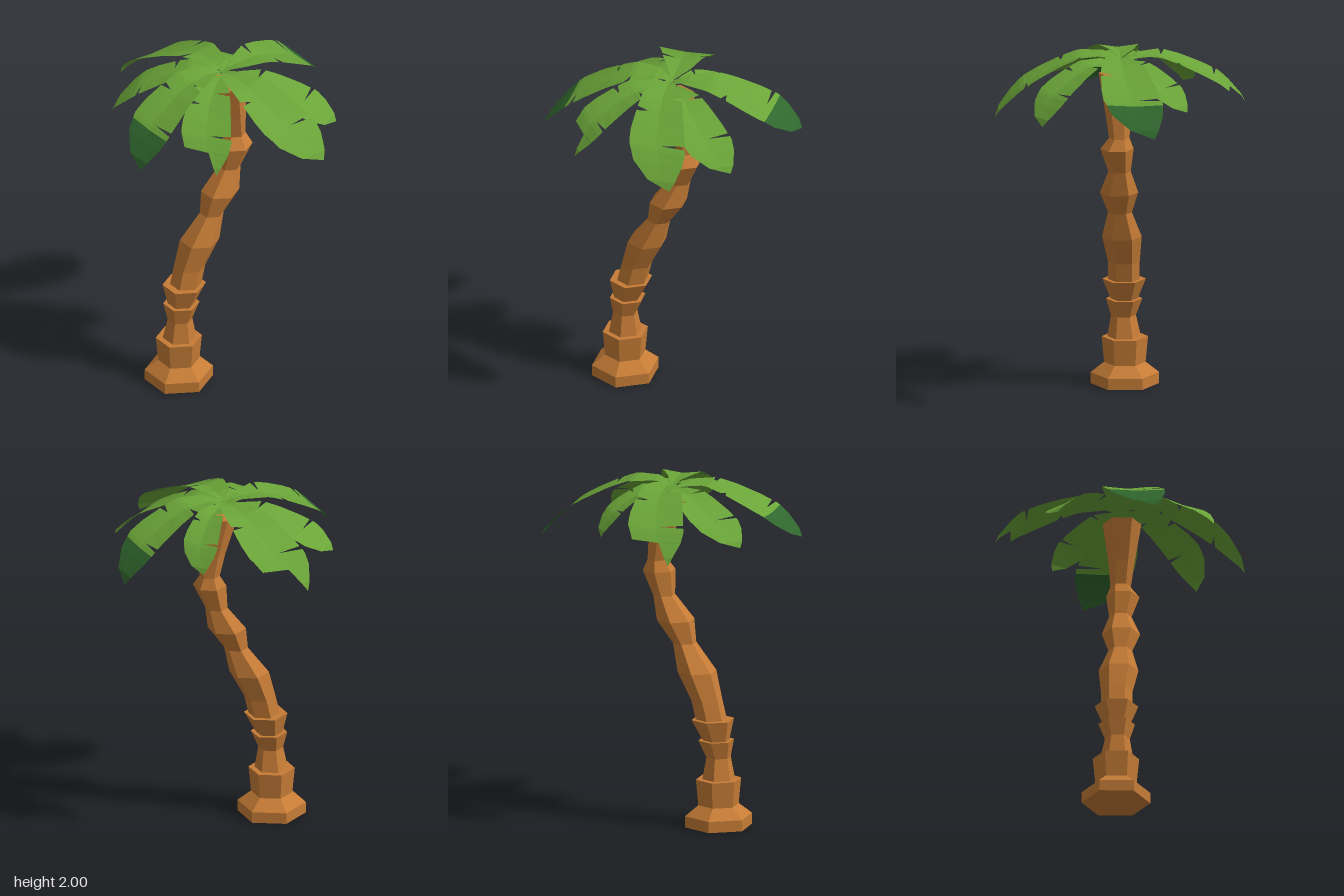
import * as THREE from 'three';

const mat = (name, color, side = THREE.FrontSide) => {
  const m = new THREE.MeshStandardMaterial({ color, side });
  m.name = name;
  return m;
};

// Faceted geometry: unshared corners give every face its own normal
function faceted(points, index) {
  const g = new THREE.BufferGeometry();
  g.setAttribute('position', new THREE.Float32BufferAttribute(points, 3));
  g.setIndex(index);
  const flat = g.toNonIndexed();
  flat.computeVertexNormals();
  return flat;
}

// Trunk rings: [y, centre x, centre z, radius]
const RINGS = [
  [0, -0.285, -0.03, 0.195], [0.065, -0.285, -0.03, 0.195], [0.125, -0.285, -0.03, 0.118],
  [0.275, -0.285, -0.03, 0.132], [0.275, -0.284, -0.026, 0.095], [0.4, -0.283, -0.022, 0.071],
  [0.5, -0.27, -0.026, 0.104], [0.5, -0.27, -0.026, 0.078], [0.62, -0.25, -0.026, 0.124],
  [0.62, -0.24, -0.024, 0.09], [0.73, -0.214, -0.024, 0.09], [0.89, -0.152, -0.012, 0.113],
  [1.05, -0.075, 0, 0.068], [1.18, -0.02, 0.005, 0.109], [1.32, 0.047, 0.003, 0.064],
  [1.46, 0.082, 0.018, 0.095], [1.525, 0.088, 0.005, 0.058], [1.66, 0.067, 0.01, 0.073],
  [1.89, 0.025, 0.012, 0.11],
];

function trunkGeometry() {
  const sides = 6, pts = [], idx = [];
  for (const [y, cx, cz, r] of RINGS) {
    for (let j = 0; j < sides; j++) {
      const a = (j / sides) * Math.PI * 2;
      pts.push(cx + r * Math.sin(a), y, cz + r * Math.cos(a));
    }
  }
  for (let i = 0; i < RINGS.length - 1; i++) {
    for (let j = 0; j < sides; j++) {
      const a = i * sides + j, b = i * sides + ((j + 1) % sides);
      idx.push(a, b, b + sides, a, b + sides, a + sides);
    }
  }
  // end caps
  const top = (RINGS.length - 1) * sides;
  for (let j = 1; j < sides - 1; j++) {
    idx.push(0, j + 1, j, top, top + j, top + j + 1);
  }
  return faceted(pts, idx);
}

// Frond rows: [distance out, left edge, midrib, right edge, midrib height]; inward edges are slits
const FROND = [
  [0, 0, 0, 0, 1.965], [0.05, -0.045, 0, 0.03, 1.98], [0.1, -0.08, 0, 0.055, 1.986],
  [0.22, -0.105, 0.01, 0.12, 1.981], [0.232, -0.106, 0.012, 0.035, 1.979],
  [0.25, -0.108, 0.014, 0.13, 1.975], [0.32, -0.11, 0.02, 0.155, 1.95],
  [0.335, -0.04, 0.022, 0.16, 1.944], [0.35, -0.11, 0.025, 0.165, 1.938],
  [0.46, -0.11, 0.045, 0.205, 1.887], [0.525, -0.1, 0.06, 0.225, 1.853],
  [0.535, -0.098, 0.065, 0.09, 1.847], [0.545, -0.095, 0.07, 0.235, 1.842],
  [0.57, -0.08, 0.08, 0.24, 1.825], [0.62, -0.05, 0.1, 0.24, 1.782],
  [0.69, 0.055, 0.13, 0.215, 1.712], [0.715, 0.19, 0.19, 0.19, 1.667],
];
const TIP_ROW = 13;
// The torn frond has a bite out of its end
const TORN = [
  ...FROND.slice(0, 15), [0.625, 0.11, 0.14, 0.238, 1.777],
  [0.69, 0.16, 0.18, 0.21, 1.71], FROND[16],
];

// Shallow V section that flattens toward the tip: the edges stand above the midrib
function frondGeometry(rows, scale, droop, lower) {
  const pts = [], idx = [];
  for (const [u, left, mid, right, y] of rows) {
    const fold = 0.2 * (1 - u / 0.75);
    for (const v of [left, mid, right]) {
      const h = 2 - lower - (2 - y) * droop + fold * Math.abs(v - mid);
      pts.push(v * scale, h, u * scale);
    }
  }
  for (let i = 0; i < rows.length - 1; i++) {
    for (const k of [0, 1]) {
      const a = i * 3 + k, b = a + 3;
      idx.push(a, b, b + 1, a, b + 1, a + 1);
    }
  }
  return faceted(pts, idx);
}

export function createModel() {
  const model = new THREE.Group();
  model.name = 'palmTree';
  const bark = mat('bark brown', 0xc67c36);
  const green = mat('leaf green', 0x6aa438, THREE.DoubleSide);
  const dark = mat('dark tip green', 0x30672e, THREE.DoubleSide);

  const add = (parent, name, geometry, material) => {
    const m = new THREE.Mesh(geometry, material);
    m.name = name;
    parent.add(m);
  };

  add(model, 'trunk', trunkGeometry(), bark);

  // Fronds: yaw in degrees, scale, droop, distance below the crown, torn end, dark tip
  const fronds = [
    { yaw: 0 }, { yaw: 90, tip: true }, { yaw: 180, torn: true }, { yaw: 270, tip: true },
    { yaw: 32, scale: 0.88, droop: 0.85, lower: 0.035 },
    { yaw: 126, scale: 0.66, droop: 0.72, lower: 0.035 },
    { yaw: 220, scale: 0.85, droop: 0.75, lower: 0.035 },
    { yaw: 306, scale: 0.91, droop: 0.82, lower: 0.035, torn: true },
  ];
  for (const { yaw, scale = 1, droop = 1, lower = 0, torn = false, tip = false } of fronds) {
    const frond = new THREE.Group();
    frond.name = lower ? 'lowerFrond' : 'upperFrond';
    frond.rotation.y = THREE.MathUtils.degToRad(yaw);
    const rows = torn ? TORN : FROND;
    const blade = tip ? rows.slice(0, TIP_ROW + 1) : rows;
    add(frond, 'frondBlade', frondGeometry(blade, scale, droop, lower), green);
    if (tip) add(frond, 'frondTip', frondGeometry(rows.slice(TIP_ROW), scale, droop, lower), dark);
    model.add(frond);
  }
  return model;
}
